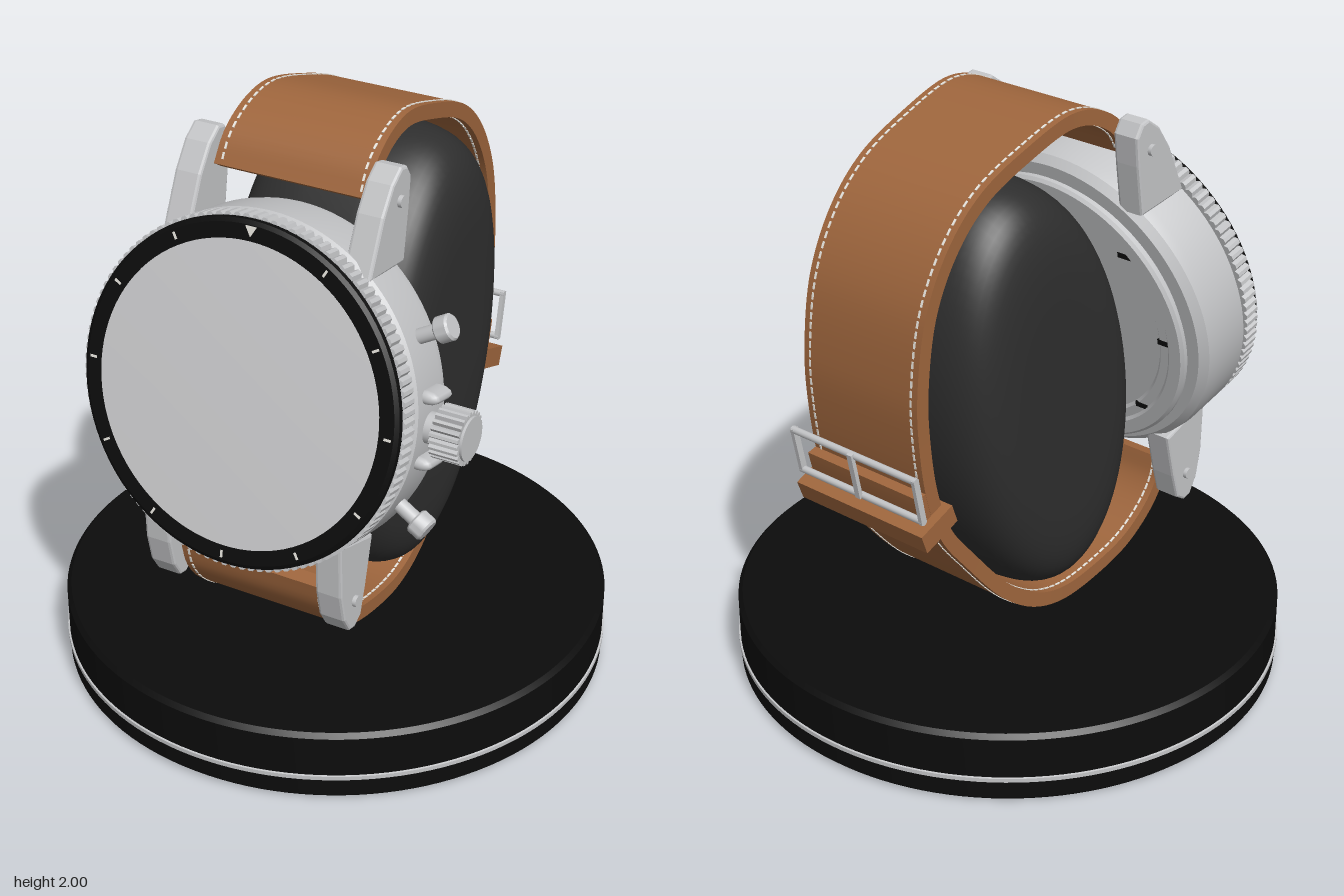
import * as THREE from 'three';
import { toCreasedNormals, mergeGeometries } from 'three/addons/utils/BufferGeometryUtils.js';

const V2 = (p) => new THREE.Vector2(p[0], p[1]);
const TILT = -0.206;

export function createModel() {
  const mat = (name, color) => Object.assign(new THREE.MeshStandardMaterial({ color }), { name });
  const steel = mat('steel', 0xc4c5c7);
  const glass = mat('glass', 0xd0d0d2);
  const black = mat('black', 0x0c0c0c);
  const padding = mat('charcoal', 0x2e2e2e);
  const leather = mat('leather', 0x9f663d);
  const white = mat('thread white', 0xe9e6df);

  const model = new THREE.Group();
  const add = (parent, name, geo, material, x = 0, y = 0, z = 0) => {
    const m = new THREE.Mesh(geo, material);
    m.name = name;
    m.position.set(x, y, z);
    parent.add(m);
    return m;
  };
  const lathe = (pts, seg = 96) => toCreasedNormals(new THREE.LatheGeometry(pts.map(V2), seg), 0.5);
  // Lathe whose axis points forward (+z)
  const dial = (pts, seg) => lathe(pts, seg).rotateX(Math.PI / 2);
  // Fluted disc along z
  const fluted = (r, depth, teeth, cut) => {
    const pts = [];
    for (let i = 0; i < teeth; i++) {
      [[0, r - cut], [0.3, r], [0.7, r]].forEach(([f, q]) => {
        const a = ((i + f) / teeth) * Math.PI * 2;
        pts.push(new THREE.Vector2(Math.cos(a) * q, Math.sin(a) * q));
      });
    }
    return new THREE.ExtrudeGeometry(new THREE.Shape(pts), { depth, bevelEnabled: false });
  };

  // Round stand with inlaid ring
  add(model, 'standBase', lathe([[0, 0], [0.91, 0], [0.925, 0.015], [0.925, 0.235], [0.91, 0.25], [0, 0.25]], 128), black);
  add(model, 'standRing', lathe([[0.92, 0.075], [0.931, 0.078], [0.931, 0.092], [0.92, 0.095]], 128), steel);

  // Oval cushion: rounded lathe turned sideways and squashed
  const pad = [];
  for (let i = 0; i <= 32; i++) {
    const a = -Math.PI / 2 + (Math.PI * i) / 32;
    pad.push(new THREE.Vector2(Math.max(0, Math.cos(a)) ** 0.3, 0.36 * Math.sign(Math.sin(a)) * Math.abs(Math.sin(a)) ** 0.6));
  }
  const cushion = new THREE.LatheGeometry(pad, 80).scale(0.763, 1, 0.409).rotateZ(Math.PI / 2).rotateX(TILT);
  add(model, 'cushion', cushion, padding, 0, 1.087, -0.14);

  // Watch head, built facing +z and tilted back
  const watch = new THREE.Group();
  watch.name = 'watchHead';
  watch.position.set(0, 1.24, 0.615);
  watch.rotation.x = TILT;
  model.add(watch);

  add(watch, 'case', dial([[0, -0.335], [0.4, -0.335], [0.41, -0.345], [0.44, -0.345], [0.45, -0.355], [0.495, -0.355],
    [0.505, -0.345], [0.505, -0.33], [0.485, -0.325], [0.485, -0.31], [0.535, -0.31], [0.56, -0.285], [0.566, -0.25],
    [0.566, -0.1], [0.545, -0.085], [0.545, -0.07], [0, -0.07]]), steel);
  add(watch, 'knurledBezel', fluted(0.566, 0.06, 110, 0.012), steel, 0, 0, -0.078);
  add(watch, 'bezelRing', dial([[0.556, -0.02], [0.553, -0.004], [0.54, 0.004], [0.488, 0.004], [0.488, -0.02]]), black);
  add(watch, 'crystal', dial([[0.492, -0.01], [0.49, 0.005], [0.3, 0.009], [0, 0.01]]), glass);
  for (let i = 0; i < 8; i++) {
    add(watch, 'backNotch', new THREE.BoxGeometry(0.05, 0.02, 0.006), black, 0, 0, 0)
      .position.set(Math.cos(i * Math.PI / 4) * 0.425, Math.sin(i * Math.PI / 4) * 0.425, -0.343);
  }

  // Bezel markers
  for (let i = 1; i < 60; i++) {
    const major = i % 5 === 0, a = (i / 60) * Math.PI * 2;
    if (!major) continue;
    const tick = add(watch, 'bezelMarker', new THREE.BoxGeometry(0.008, 0.024, 0.004), white,
      Math.sin(a) * 0.52, Math.cos(a) * 0.52, 0.004);
    tick.rotation.z = -a;
  }
  const tri = new THREE.Shape([[-0.02, 0.537], [0, 0.503], [0.02, 0.537]].map(V2));
  add(watch, 'bezelTriangle', new THREE.ExtrudeGeometry(tri, { depth: 0.003, bevelEnabled: false }), white, 0, 0, 0.003);

  // Lugs: upper pair, and the same turned half round for the lower pair
  const lugOutline = [[-0.222, 0.745], [-0.25, 0.745], [-0.28, 0.715], [-0.289, 0.62], [-0.297, 0.455],
    [-0.097, 0.435], [-0.14, 0.61], [-0.18, 0.70]].map(([w, v]) => new THREE.Vector2(-w, v));
  const lugGeo = new THREE.ExtrudeGeometry(new THREE.Shape(lugOutline),
    { depth: 0.074, bevelSize: 0.008, bevelThickness: 0.01, bevelSegments: 2 }).translate(0, 0, -0.037).rotateY(Math.PI / 2);
  const rod = (r, len, seg = 24) => new THREE.CylinderGeometry(r, r, len, seg).rotateZ(Math.PI / 2);
  for (const turn of [0, Math.PI]) {
    const pair = new THREE.Group();
    pair.name = turn ? 'lowerLugs' : 'upperLugs';
    pair.rotation.z = turn;
    watch.add(pair);
    for (const s of [-1, 1]) {
      add(pair, 'lug', lugGeo, steel, s * 0.316, 0, 0);
      add(pair, 'lugScrew', rod(0.019, 0.02), steel, s * 0.366, 0.65, -0.227);
    }
    add(pair, 'springBar', rod(0.015, 0.56), steel, 0, 0.65, -0.227);
  }

  // Crown with guards and two angled pushers
  const side = new THREE.Group();
  side.name = 'crownAndPushers';
  side.position.z = -0.187;
  watch.add(side);
  add(side, 'crownStem', rod(0.05, 0.1), steel, 0.58, 0, 0);
  add(side, 'crown', fluted(0.086, 0.095, 24, 0.012).rotateY(Math.PI / 2), steel, 0.602, 0, 0);
  add(side, 'crownCap', rod(0.07, 0.01, 32), steel, 0.7, 0, 0);
  for (const s of [-1, 1]) {
    const guard = new THREE.CapsuleGeometry(0.022, 0.075, 6, 12).rotateX(Math.PI / 2).scale(2, 1, 1);
    add(side, 'crownGuard', guard, steel, 0.562, s * 0.105, 0);
    const pusher = new THREE.Group();
    pusher.name = 'pusher';
    pusher.rotation.z = s * 0.5;
    side.add(pusher);
    add(pusher, 'pusherStem', rod(0.024, 0.12), steel, 0.585, 0, 0);
    add(pusher, 'pusherCap', lathe([[0, 0], [0.036, 0], [0.042, 0.006], [0.042, 0.045], [0.036, 0.052], [0, 0.052]], 28)
      .rotateZ(-Math.PI / 2), steel, 0.632, 0, 0);
  }

  // Strap centre line, from upper lugs round the back to lower lugs
  const path = new THREE.CatmullRomCurve3([[0.265, 1.81], [0.215, 1.89], [0.12, 1.95], [0, 1.972], [-0.2, 1.925], [-0.4, 1.845],
    [-0.53, 1.73], [-0.63, 1.55], [-0.672, 1.3], [-0.667, 1.13], [-0.635, 0.93], [-0.575, 0.77], [-0.47, 0.63], [-0.28, 0.415],
    [-0.13, 0.313], [0, 0.278], [0.15, 0.287], [0.33, 0.335], [0.45, 0.42], [0.505, 0.5], [0.525, 0.585]]
    .map(([z, y]) => new THREE.Vector3(0, y, z)));
  path.arcLengthDivisions = 600;
  const halfWidth = (u) => 0.232 + 0.036 * Math.min(1, Math.abs(2 * u - 1)) ** 2;
  const frame = (u) => {
    const p = path.getPointAt(u), t = path.getTangentAt(u);
    return { p, t, n: new THREE.Vector3(0, -t.z, t.y) };
  };
  // Rectangular band swept along the centre line
  const band = (u0, u1, steps, thick, offset) => {
    const pos = [], idx = [];
    for (let i = 0; i <= steps; i++) {
      const u = u0 + ((u1 - u0) * i) / steps, { p, n } = frame(u), w = halfWidth(u);
      for (const [sx, sn] of [[-1, 1], [1, 1], [1, -1], [-1, -1]]) {
        const d = offset + (sn * thick) / 2;
        pos.push(sx * w, p.y + n.y * d, p.z + n.z * d);
      }
    }
    for (let i = 0; i < steps; i++) for (let k = 0; k < 4; k++) {
      const a = i * 4 + k, b = i * 4 + ((k + 1) % 4);
      idx.push(a, b, b + 4, a, b + 4, a + 4);
    }
    const e = steps * 4;
    idx.push(0, 3, 2, 0, 2, 1, e, e + 1, e + 2, e, e + 2, e + 3);
    const g = new THREE.BufferGeometry();
    g.setAttribute('position', new THREE.Float32BufferAttribute(pos, 3));
    g.setIndex(idx);
    return toCreasedNormals(g, 0.6);
  };
  add(model, 'strap', band(0, 1, 140, 0.05, 0), leather);

  // Stitching along both edges, outside and inside
  const stitches = [];
  const COUNT = 110;
  for (let i = 1; i < COUNT; i++) {
    const u = i / COUNT, { p, n, t } = frame(u);
    for (const s of [-1, 1]) for (const d of [-0.025, 0.025]) {
      const g = new THREE.BoxGeometry(0.007, 0.005, 0.022).rotateX(Math.atan2(-t.y, t.z));
      stitches.push(g.translate(s * (halfWidth(u) - 0.025), p.y + n.y * d, p.z + n.z * d));
    }
  }
  add(model, 'stitching', mergeGeometries(stitches), white);

  // Overlapping tail and keeper loop at the lower back
  const uAtHeight = (y) => {
    let u = 0.3;
    while (path.getPointAt(u).y > y && u < 0.8) u += 0.002;
    return u;
  };
  add(model, 'strapTail', band(uAtHeight(0.97), uAtHeight(0.79), 14, 0.035, 0.043), leather);
  const k = frame(uAtHeight(0.85));
  const keeper = add(model, 'keeperLoop', new THREE.BoxGeometry(0.53, 0.15, 0.07), leather,
    0, k.p.y + k.n.y * 0.035, k.p.z + k.n.z * 0.035);
  keeper.rotation.x = Math.atan2(k.n.z, k.n.y);

  // Buckle frame and tongue
  const buckle = new THREE.Group();
  buckle.name = 'buckle';
  buckle.position.set(0, 0.965, -0.722);
  buckle.rotation.x = -0.2;
  model.add(buckle);
  for (const s of [-1, 1]) {
    add(buckle, 'buckleBar', rod(0.012, 0.52, 12), steel, 0, s * 0.078, 0);
    add(buckle, 'buckleSide', new THREE.BoxGeometry(0.014, 0.17, 0.022), steel, s * 0.253, 0, 0);
  }
  add(buckle, 'buckleTongue', new THREE.BoxGeometry(0.02, 0.17, 0.014), steel, 0, 0.005, -0.012);
  return model;
}
